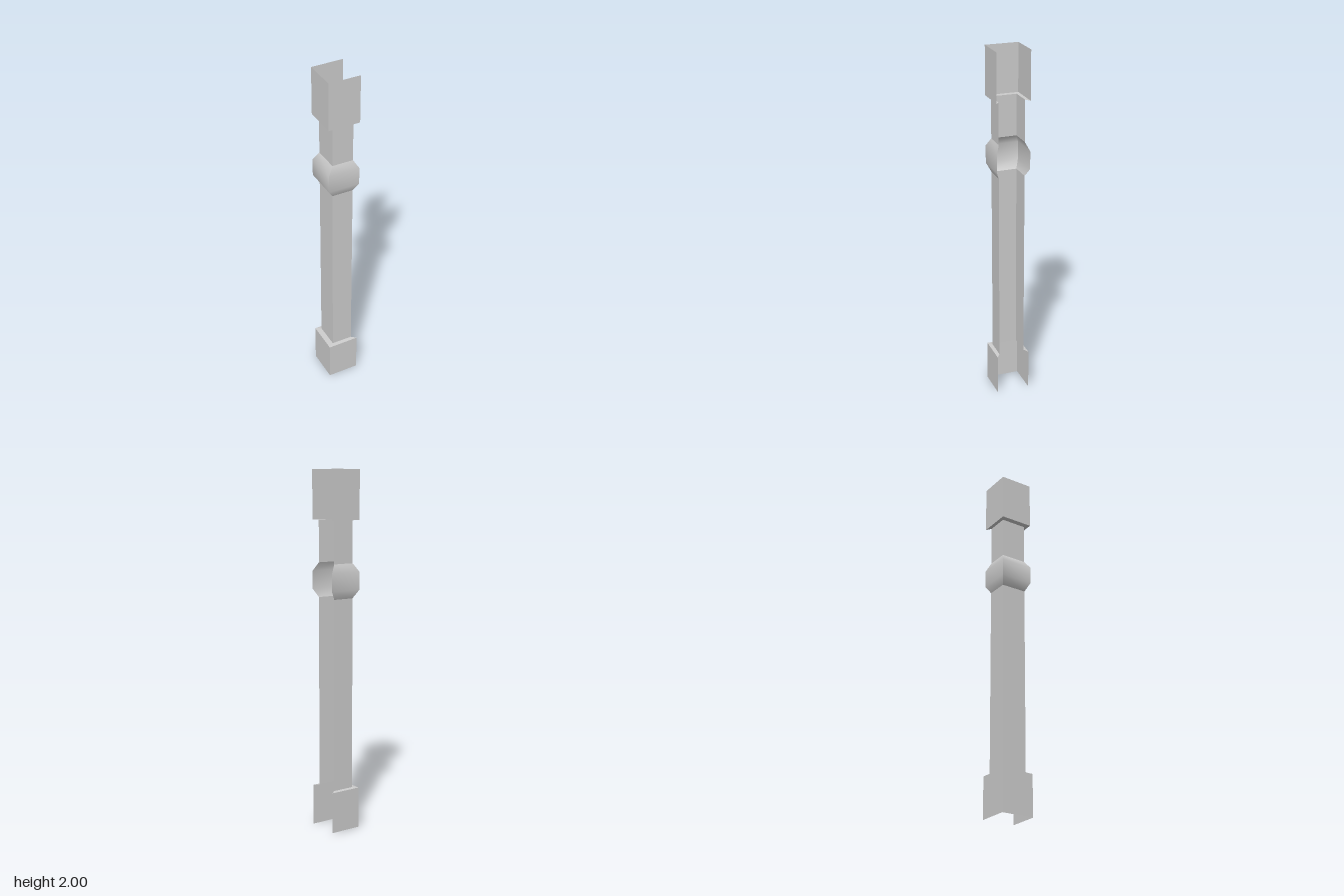
import * as THREE from 'three';

// C-shaped cross-sections, open towards +x, as [x, z] running back, right, front
const OUTER = [[0.088, -0.097], [-0.093, -0.093], [-0.089, 0.094], [0.09, 0.091]];
const INNER = [[0.06, -0.076], [-0.062, -0.073], [-0.058, 0.072], [0.062, 0.071]];

// Sheet of three walls through the given levels; smooth upwards, sharp at corners
function wallBand(levels) {
  const positions = [], index = [];
  for (let w = 0; w < 3; w++) {
    const base = positions.length / 3;
    levels.forEach(([section, y]) => {
      for (const [x, z] of [section[w], section[w + 1]]) positions.push(x, y, z);
    });
    for (let i = 0; i < levels.length - 1; i++) {
      const a = base + i * 2;
      index.push(a, a + 1, a + 2, a + 1, a + 3, a + 2);
    }
  }
  const geometry = new THREE.BufferGeometry();
  geometry.setAttribute('position', new THREE.Float32BufferAttribute(positions, 3));
  geometry.setIndex(index);
  geometry.computeVertexNormals();
  return geometry;
}

export function createModel() {
  const model = new THREE.Group();
  model.name = 'pillar';
  const stone = new THREE.MeshStandardMaterial({ color: 0xcccccc });
  stone.name = 'light grey stone';
  stone.side = THREE.DoubleSide;

  const parts = {
    base: [[OUTER, 0], [OUTER, 0.232]],
    baseLedge: [[OUTER, 0.232], [INNER, 0.235]],
    lowerShaft: [[INNER, 0.235], [INNER, 1.307]],
    roundedCollar: [[INNER, 1.307], [OUTER, 1.353], [OUTER, 1.452], [INNER, 1.498]],
    upperShaft: [[INNER, 1.498], [INNER, 1.73]],
    capitalLedge: [[INNER, 1.73], [OUTER, 1.73]],
    capital: [[OUTER, 1.73], [OUTER, 2]],
  };
  for (const [name, levels] of Object.entries(parts)) {
    const mesh = new THREE.Mesh(wallBand(levels), stone);
    mesh.name = name;
    model.add(mesh);
  }
  return model;
}
